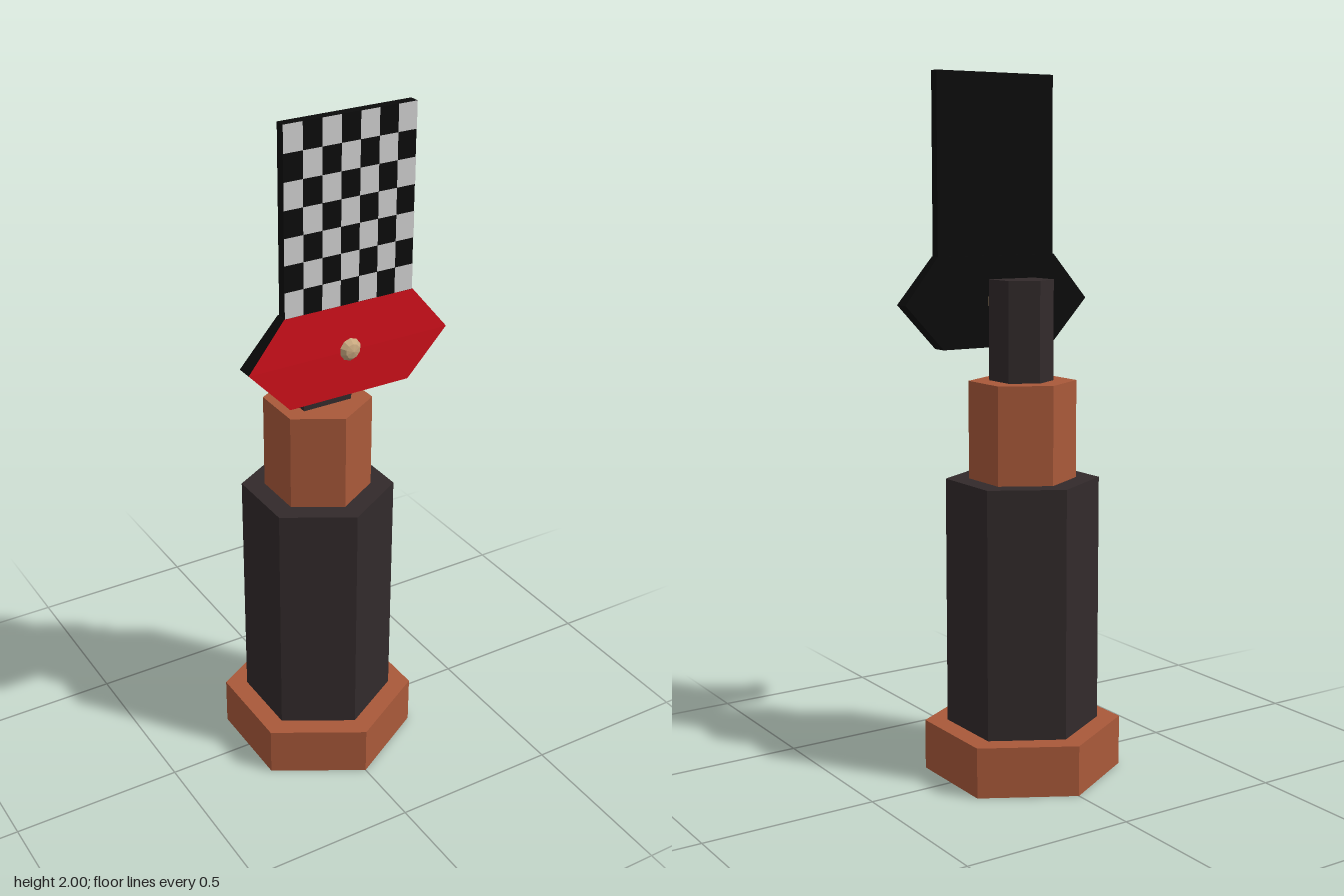
import * as THREE from 'three';

const mat = (color) => new THREE.MeshStandardMaterial({ color, flatShading: true });

export function createModel() {
  const copper = mat(0xa9593a), dark = mat(0x322a2b), black = mat(0x0b0b0b);
  const red = mat(0xcc0f1a), tan = mat(0xc8a880), grey = mat(0xbfbfbf);
  const model = new THREE.Group();

  const add = (name, geometry, material, x = 0, y = 0, z = 0, parent = model) => {
    const mesh = new THREE.Mesh(geometry, material);
    mesh.name = name;
    mesh.position.set(x, y, z);
    parent.add(mesh);
    return mesh;
  };

  // Stacked hexagonal column, corners pointing front and back
  const hex = (name, r, y0, y1, material) =>
    add(name, new THREE.CylinderGeometry(r, r, y1 - y0, 6), material, 0, (y0 + y1) / 2);
  hex('base', 0.284, 0, 0.145, [copper, copper, tan]);
  hex('column', 0.219, 0.145, 0.86, dark);
  hex('collar', 0.153, 0.86, 1.14, copper);

  // Post: hexagon with a flat front (shape y becomes -z)
  const outline = [[-0.076, -0.056], [0.076, -0.056], [0.076, 0.044], [0, 0.088], [-0.076, 0.044]];
  const postShape = new THREE.Shape(outline.map(([x, y]) => new THREE.Vector2(x, y)));
  const post = new THREE.ExtrudeGeometry(postShape, { depth: 0.285, bevelEnabled: false });
  post.rotateX(-Math.PI / 2);
  add('post', post, dark, 0, 1.14);

  // Axle with a rounded front end
  const profile = [[0, 0.05], [0.037, 0.05], [0.037, 0.155], [0.033, 0.17], [0.021, 0.184], [0, 0.189]];
  const axle = new THREE.LatheGeometry(profile.map(([r, y]) => new THREE.Vector2(r, y)), 10);
  axle.rotateX(Math.PI / 2);
  add('axle', axle, tan, 0, 1.357);

  // Pointed crosspiece: a box widened at mid height and thinned at the top
  const board = new THREE.BoxGeometry(2, 2, 2, 1, 2, 1);
  const rows = {
    '-1': { w: 0.185, y: 1.225, back: 0.123, front: 0.171 },
    '0': { w: 0.307, y: 1.355, back: 0.123, front: 0.171 },
    '1': { w: 0.197, y: 1.487, back: 0.131, front: 0.165 },
  };
  const p = board.attributes.position;
  for (let i = 0; i < p.count; i++) {
    const row = rows[Math.round(p.getY(i))];
    p.setXYZ(i, p.getX(i) * row.w, row.y, p.getZ(i) > 0 ? row.front : row.back);
  }
  board.computeVertexNormals();
  add('crosspiece', board, [black, black, black, black, red, black]);

  // Upright blade with a chequered front
  const width = 0.39, bottom = 1.486, height = 2 - bottom, n = 7;
  add('blade', new THREE.BoxGeometry(width, height, 0.028), black, 0, bottom + height / 2, 0.149);
  const checks = new THREE.Group();
  checks.name = 'checks';
  model.add(checks);
  const cw = width / n, ch = height / n;
  const tile = new THREE.PlaneGeometry(cw, ch);
  for (let r = 0; r < n; r++) {
    for (let c = r % 2; c < n; c += 2) {
      add('check', tile, grey, (c - (n - 1) / 2) * cw, bottom + (r + 0.5) * ch, 0.1645, checks);
    }
  }
  return model;
}
